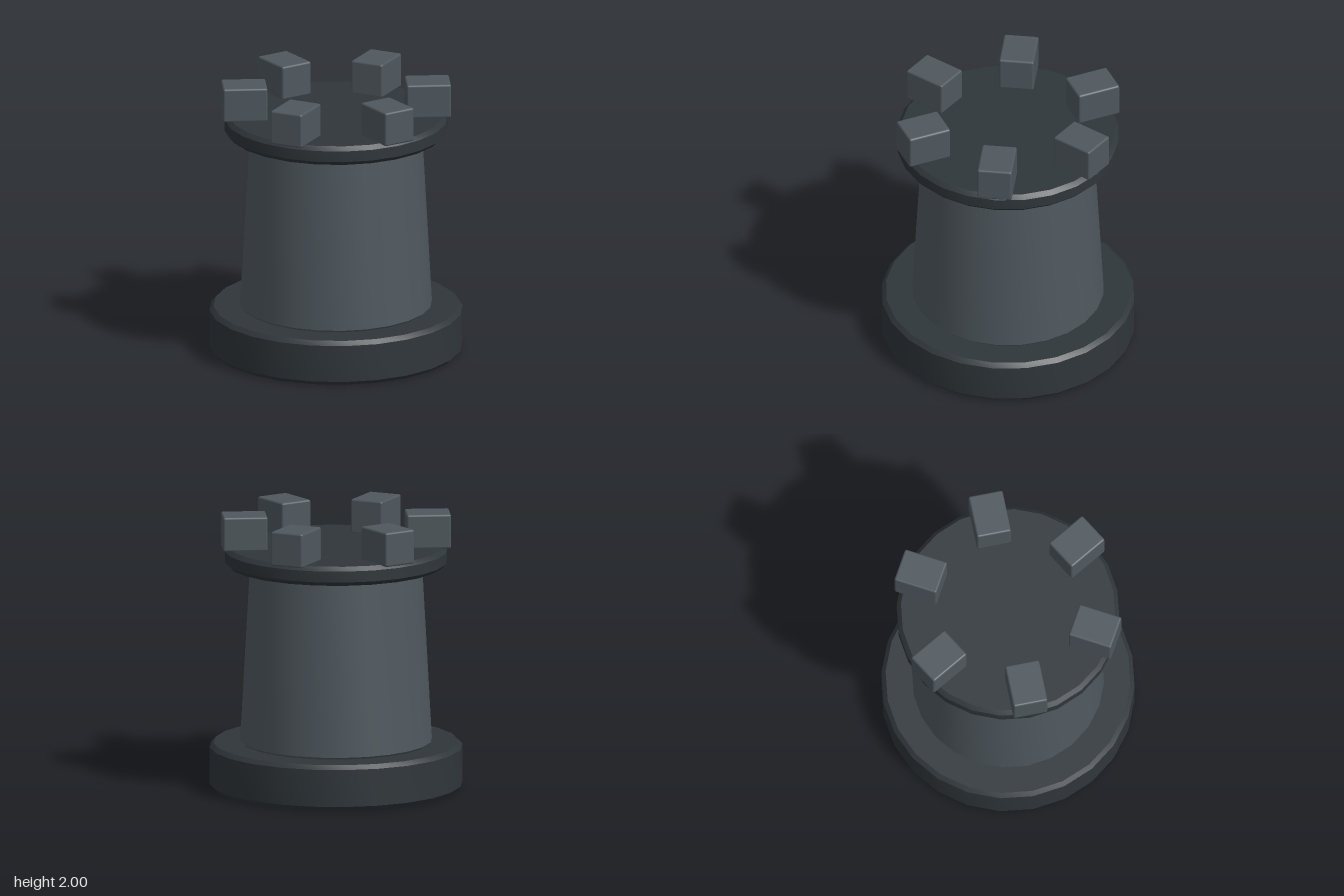
import * as THREE from 'three';
import { toCreasedNormals } from 'three/addons/utils/BufferGeometryUtils.js';
import { RoundedBoxGeometry } from 'three/addons/geometries/RoundedBoxGeometry.js';

const SIDES = 24;

// Round, tapered drum with chamfered rims
function drum(name, y0, y1, r0, r1, chamfer, material) {
  const profile = [
    [0, y0], [r0 - chamfer, y0], [r0, y0 + chamfer],
    [r1, y1 - chamfer], [r1 - chamfer, y1], [0, y1],
  ].map(([r, y]) => new THREE.Vector2(r, y));
  const geometry = toCreasedNormals(new THREE.LatheGeometry(profile, SIDES), Math.PI / 6);
  const mesh = new THREE.Mesh(geometry, material);
  mesh.name = name;
  return mesh;
}

export function createModel() {
  const dark = new THREE.MeshStandardMaterial({ color: 0x2f363a });
  const stone = new THREE.MeshStandardMaterial({ color: 0x4f585e });

  const tower = new THREE.Group();
  tower.name = 'tower';

  // Plinth, tapering shaft and overhanging platform
  tower.add(drum('base', 0, 0.33, 0.91, 0.91, 0.03, dark));
  tower.add(drum('shaft', 0.33, 1.63, 0.69, 0.62, 0.015, stone));
  tower.add(drum('platform', 1.62, 1.76, 0.8, 0.8, 0.03, dark));

  // Ring of six battlement blocks
  const battlements = new THREE.Group();
  battlements.name = 'battlements';
  const block = new RoundedBoxGeometry(0.32, 0.25, 0.25, 2, 0.015);
  for (let i = 0; i < 6; i++) {
    const angle = (i * Math.PI) / 3;
    const mesh = new THREE.Mesh(block, stone);
    mesh.name = 'battlement';
    mesh.position.set(Math.cos(angle) * 0.66, 1.875, -Math.sin(angle) * 0.66);
    mesh.rotation.y = angle;
    battlements.add(mesh);
  }
  tower.add(battlements);

  return tower;
}
